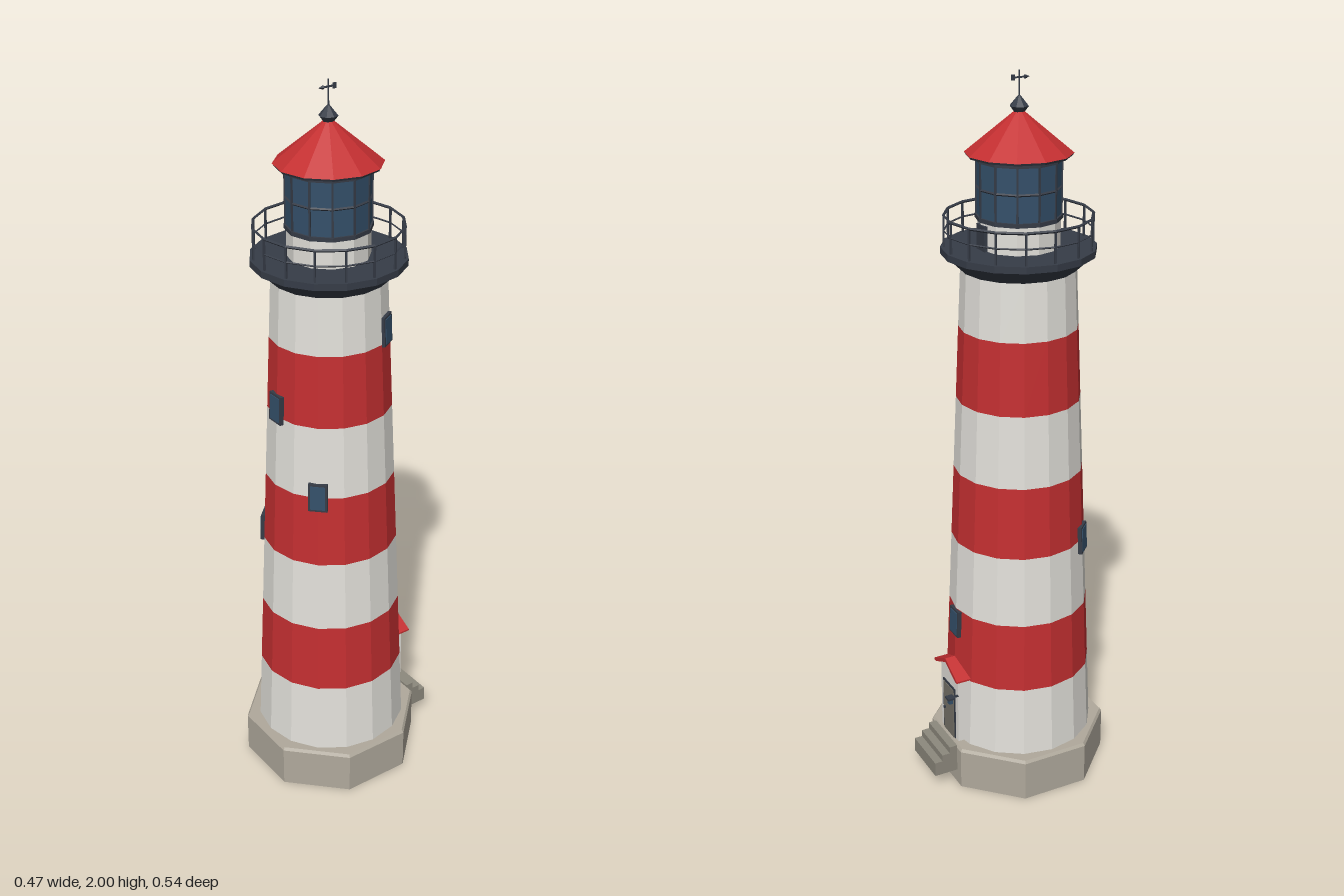
import * as THREE from 'three';

const mat = (name, color) => Object.assign(new THREE.MeshStandardMaterial({ color, flatShading: true }), { name });

export function createModel() {
  const white = mat('white paint', 0xe3e1db), red = mat('red paint', 0xc42f31);
  const dark = mat('dark iron', 0x363c47), glass = mat('blue glass', 0x34506a);
  const stone = mat('stone', 0xb0a99c), step = mat('step stone', 0x8d897d);
  const doorMat = mat('door grey', 0x77746a);

  const model = new THREE.Group();
  model.name = 'lighthouse';
  const tower = new THREE.Group();
  tower.name = 'tower';
  tower.position.z = 0.033;
  model.add(tower);

  const add = (parent, name, geo, m, x = 0, y = 0, z = 0) => {
    const mesh = new THREE.Mesh(geo, m);
    mesh.name = name;
    mesh.position.set(x, y, z);
    parent.add(mesh);
    return mesh;
  };
  // frustum given by bottom and top heights
  const drum = (name, m, r0, r1, y0, y1, sides, open = false) =>
    add(tower, name, new THREE.CylinderGeometry(r1, r0, y1 - y0, sides, 1, open), m, 0, (y0 + y1) / 2, 0);
  const box = (parent, name, m, w, h, d, x, y, z) =>
    add(parent, name, new THREE.BoxGeometry(w, h, d), m, x, y, z);
  // group turned to a compass angle, 0 = front, 90 = left side
  const facing = (name, degrees) => {
    const g = new THREE.Group();
    g.name = name;
    g.rotation.y = THREE.MathUtils.degToRad(degrees);
    tower.add(g);
    return g;
  };

  // octagonal plinth with chamfered rim
  drum('plinth', stone, 0.252, 0.252, 0, 0.117, 8).rotation.y = Math.PI / 8;
  drum('plinthRim', stone, 0.252, 0.246, 0.117, 0.125, 8).rotation.y = Math.PI / 8;

  // tapering tower in seven bands
  const radius = y => 0.213 - (y - 0.125) * 0.0436;
  const levels = [0.125, 0.33, 0.53, 0.733, 0.937, 1.14, 1.34, 1.5];
  for (let i = 0; i < 7; i++)
    drum('towerBand', i % 2 ? red : white, radius(levels[i]), radius(levels[i + 1]), levels[i], levels[i + 1], 16, true);

  // tower windows, tilted with the wall
  for (const [deg, y] of [[0, 1.165], [45, 0.94], [-45, 0.735], [122, 1.373], [180, 0.488]]) {
    const g = facing('window', deg);
    const pane = new THREE.Group();
    pane.position.set(0, y, radius(y) - 0.004);
    pane.rotation.x = -0.0436;
    g.add(pane);
    box(pane, 'windowFrame', dark, 0.052, 0.08, 0.02, 0, 0, 0);
    box(pane, 'windowGlass', glass, 0.04, 0.068, 0.004, 0, 0, 0.01);
  }

  // gallery
  drum('galleryBracket', dark, 0.153, 0.195, 1.497, 1.537, 16);
  drum('galleryDeck', dark, 0.204, 0.204, 1.537, 1.555, 16);
  const ring = (name, r, tube, y, sides) => {
    const g = new THREE.TorusGeometry(r, tube, 4, sides);
    g.rotateX(Math.PI / 2);
    add(tower, name, g, dark, 0, y, 0);
  };
  ring('topRail', 0.194, 0.004, 1.637, 16);
  ring('midRail', 0.194, 0.0025, 1.597, 16);
  for (let i = 0; i < 16; i++)
    box(facing('railPost', i * 22.5), 'post', dark, 0.005, 0.082, 0.005, 0, 1.596, 0.194);

  // lantern room
  drum('lanternBase', white, 0.108, 0.108, 1.555, 1.632, 12);
  box(tower, 'galleryDoor', dark, 0.045, 0.066, 0.012, 0, 1.588, -0.105);
  drum('lanternSill', dark, 0.114, 0.114, 1.628, 1.639, 12);
  drum('lanternGlass', glass, 0.109, 0.109, 1.639, 1.785, 12);
  drum('lanternHead', dark, 0.114, 0.114, 1.778, 1.792, 12);
  ring('glazingBar', 0.109, 0.0035, 1.71, 12);
  for (let i = 0; i < 12; i++)
    box(facing('mullion', i * 30), 'bar', dark, 0.005, 0.15, 0.006, 0, 1.71, 0.109);

  // roof, finial and vane
  drum('roofSoffit', dark, 0.136, 0.139, 1.79, 1.796, 12);
  drum('roof', red, 0.14, 0.008, 1.796, 1.903, 12);
  drum('finialLower', dark, 0.008, 0.025, 1.89, 1.912, 8);
  drum('finialUpper', dark, 0.025, 0.004, 1.912, 1.937, 8);
  drum('vaneRod', dark, 0.0025, 0.0025, 1.93, 2, 6);
  box(tower, 'vaneArrow', dark, 0.004, 0.004, 0.045, 0, 1.982, 0);
  box(tower, 'vaneTail', dark, 0.003, 0.014, 0.01, 0, 1.982, -0.018);
  const tip = new THREE.ConeGeometry(0.006, 0.014, 4);
  tip.rotateX(Math.PI / 2);
  add(tower, 'vaneTip', tip, dark, 0, 1.982, 0.022);

  // rear entrance
  const porch = new THREE.Group();
  porch.name = 'entrance';
  model.add(porch);
  box(porch, 'doorSurround', white, 0.11, 0.212, 0.045, 0, 0.231, -0.164);
  box(porch, 'doorFrame', dark, 0.076, 0.165, 0.004, 0, 0.2075, -0.187);
  box(porch, 'door', doorMat, 0.064, 0.158, 0.004, 0, 0.204, -0.189);
  box(porch, 'doorKnob', dark, 0.006, 0.006, 0.006, 0.022, 0.2, -0.193);

  // gabled canopy
  const gable = new THREE.Shape([[-0.055, 0.335], [0.055, 0.335], [0, 0.364]].map(p => new THREE.Vector2(...p)));
  add(porch, 'gable', new THREE.ExtrudeGeometry(gable, { depth: 0.045, bevelEnabled: false }), white, 0, 0, -0.187);
  const roofShape = new THREE.Shape(
    [[-0.075, 0.333], [-0.062, 0.333], [0, 0.364], [0.062, 0.333], [0.075, 0.333], [0.075, 0.338], [0, 0.376], [-0.075, 0.338]]
      .map(p => new THREE.Vector2(...p)));
  add(porch, 'canopy', new THREE.ExtrudeGeometry(roofShape, { depth: 0.06, bevelEnabled: false }), red, 0, 0, -0.199);

  // wall lamp beside the door
  box(porch, 'lampArm', dark, 0.005, 0.005, 0.025, -0.053, 0.278, -0.197);
  box(porch, 'lampCap', dark, 0.022, 0.006, 0.022, -0.053, 0.278, -0.21);
  box(porch, 'lampBody', glass, 0.012, 0.016, 0.012, -0.053, 0.268, -0.21);

  // three steps
  [0.085, 0.105, 0.125].forEach((top, i) =>
    box(porch, 'step', step, 0.142, top - 0.042, 0.0233, 0, (top + 0.042) / 2, -0.2577 + i * 0.0233));
  return model;
}
